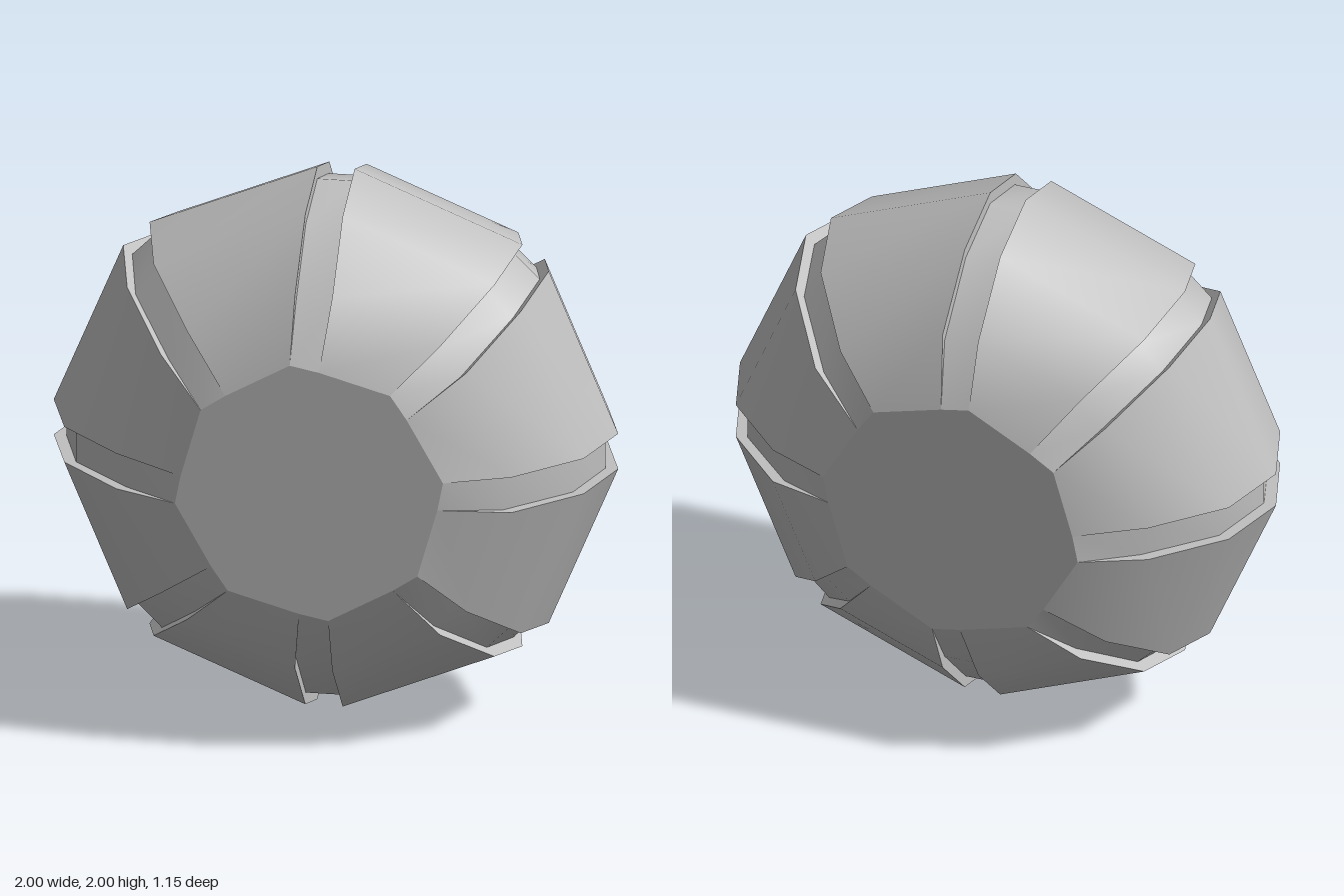
import * as THREE from 'three';

const SEGMENTS = 8;
const HALF_DEPTH = 0.575;

// Profiles from front to middle: [z, radius]; the last column is the half-gap offset
const panelHalf = [
  // z, radius on wide side, offset, radius on narrow side, offset
  [HALF_DEPTH, 0.475, 0.068, 0.455, 0.035],
  [0.475, 0.7, 0.066, 0.7, 0.066],
  [0.255, 0.92, 0.066, 0.92, 0.066],
  [0, 1, 0.066, 1, 0.066],
];
const floorHalf = [
  [HALF_DEPTH, 0.475, 0.068, 0.455, 0.035],
  [0.455, 0.665, 0.066, 0.665, 0.066],
  [0.245, 0.88, 0.066, 0.88, 0.066],
  [0, 0.955, 0.066, 0.955, 0.066],
];

// Complete a half profile by mirroring it through z = 0
const mirrorZ = (half) => [
  ...half,
  ...half.slice(0, -1).reverse().map(([z, ...rest]) => [-z, ...rest]),
];
const panelProfile = mirrorZ(panelHalf);
const floorProfile = mirrorZ(floorHalf);

// Point beside groove k: counterclockwise (wide) or clockwise (narrow) side
function edgePoint(k, [z, rWide, oWide, rNarrow, oNarrow], ccw) {
  const a = (k * Math.PI * 2) / SEGMENTS;
  const r = ccw ? rWide : rNarrow;
  const o = ccw ? oWide : -oNarrow;
  return [r * Math.cos(a) - o * Math.sin(a), r * Math.sin(a) + o * Math.cos(a) + 1, z];
}

// Smooth ribbon between two edges running front to back
function ribbon(edgeA, edgeB) {
  const positions = [];
  const index = [];
  edgeA.forEach((p, i) => {
    positions.push(...p, ...edgeB[i]);
    if (i > 0) {
      const n = 2 * i;
      index.push(n - 2, n, n - 1, n - 1, n, n + 1);
    }
  });
  const geometry = new THREE.BufferGeometry();
  geometry.setAttribute('position', new THREE.Float32BufferAttribute(positions, 3));
  geometry.setIndex(index);
  geometry.computeVertexNormals();
  return geometry;
}

export function createModel() {
  const group = new THREE.Group();
  const grey = new THREE.MeshStandardMaterial({ color: 0xc0c0c0, side: THREE.DoubleSide });
  grey.name = 'plain grey';

  const add = (name, geometry) => {
    const mesh = new THREE.Mesh(geometry, grey);
    mesh.name = name;
    group.add(mesh);
  };
  const edge = (k, profile, ccw) => profile.map((s) => edgePoint(k, s, ccw));

  const rim = [];
  for (let k = 0; k < SEGMENTS; k++) {
    const panelCw = edge(k, panelProfile, false);
    const panelCcw = edge(k, panelProfile, true);
    const floorCw = edge(k, floorProfile, false);
    const floorCcw = edge(k, floorProfile, true);

    // Raised panel, groove floor and the groove's two side walls
    add('panel', ribbon(panelCcw, edge(k + 1, panelProfile, false)));
    add('grooveFloor', ribbon(floorCw, floorCcw));
    add('grooveWall', ribbon(floorCcw, panelCcw));
    add('grooveWall', ribbon(panelCw, floorCw));

    rim.push(panelCw[0], panelCcw[0]);
  }

  // Flat end caps
  const cap = (sign) =>
    new THREE.ShapeGeometry(
      new THREE.Shape(rim.map(([x, y]) => new THREE.Vector2(x, sign * y)))
    ).translate(0, 0, HALF_DEPTH);
  add('frontCap', cap(1));
  add('backCap', cap(-1).rotateX(Math.PI));

  return group;
}
